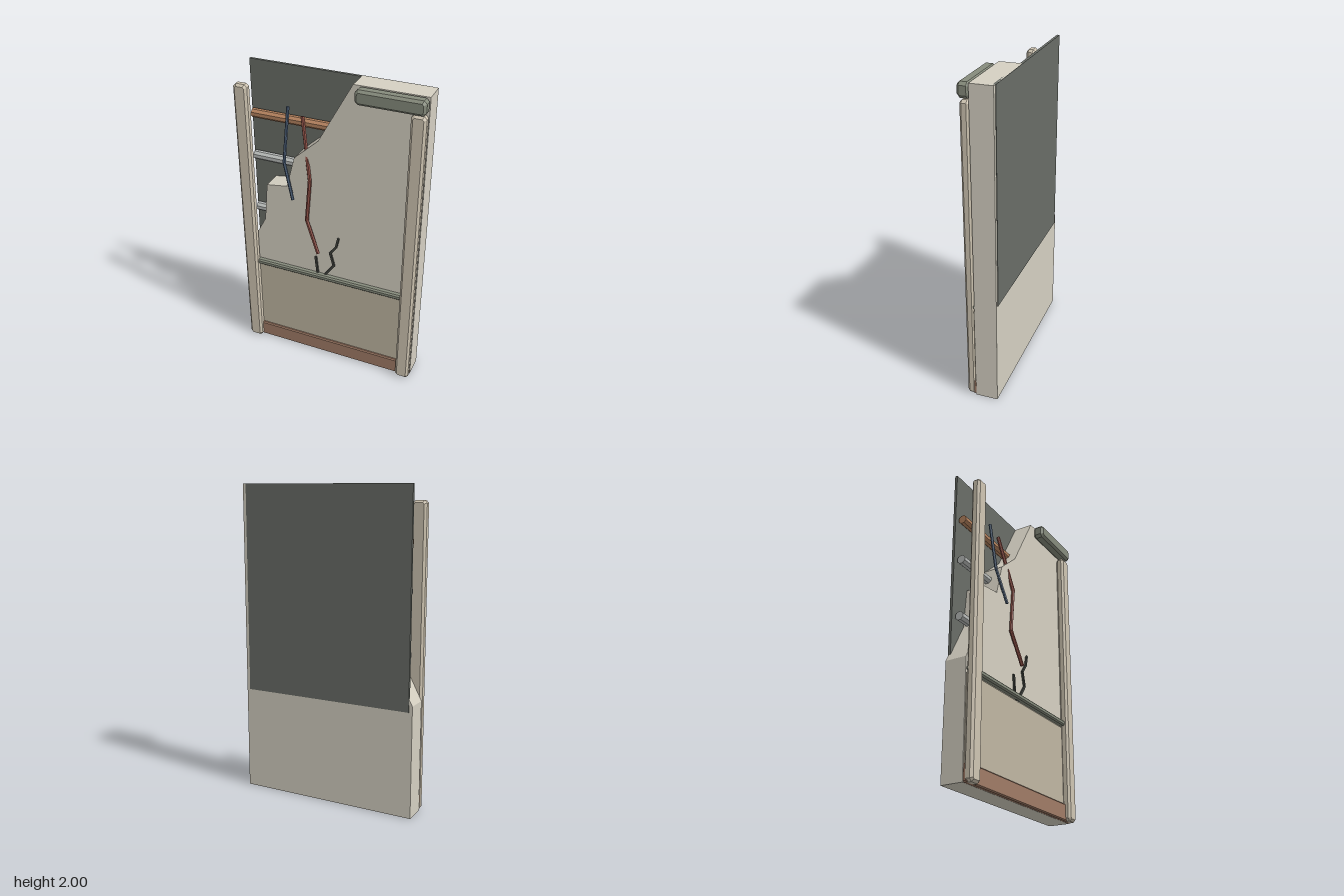
import * as THREE from 'three';

const COLORS = {
  plaster: 0xd5d0c2, backing: 0x696d67, post: 0xcfc5b2, trim: 0x868b7c, panel: 0xbfb6a2,
  base: 0xa07b66, copper: 0xb5835f, steel: 0xb9bcba, blue: 0x4f637c, red: 0x8f5147, crack: 0x41443f,
};
const material = (color) =>
  new THREE.MeshStandardMaterial({ color: COLORS[color], flatShading: true });

function add(group, name, geometry, color) {
  const mesh = new THREE.Mesh(geometry, material(color));
  mesh.name = name;
  group.add(mesh);
  return mesh;
}

// Box with every edge chamfered by c, given by its extents
function chamferBox([x0, x1], [y0, y1], [z0, z1], c) {
  const a = (x1 - x0) / 2 - c, b = (y1 - y0) / 2 - c, k = c * 0.6;
  const shape = new THREE.Shape([
    [a, -b + k], [a, b - k], [a - k, b], [-a + k, b],
    [-a, b - k], [-a, -b + k], [-a + k, -b], [a - k, -b],
  ].map((p) => new THREE.Vector2(...p)));
  return new THREE.ExtrudeGeometry(shape, {
    depth: z1 - z0 - 2 * c, bevelEnabled: true, bevelSize: c, bevelThickness: c, bevelSegments: 1,
  }).translate((x0 + x1) / 2, (y0 + y1) / 2, z0 + c);
}

// Thin wire bent at sharp corners
function wire(points, radius) {
  const path = new THREE.CurvePath();
  const v = points.map((p) => new THREE.Vector3(...p));
  const group = new THREE.Group();
  for (let i = 1; i < v.length; i++) path.add(new THREE.LineCurve3(v[i - 1], v[i]));
  path.curves.forEach((line) => {
    const length = line.getLength();
    const seg = new THREE.CylinderGeometry(radius, radius, length + radius * 0.5, 6);
    seg.applyQuaternion(new THREE.Quaternion().setFromUnitVectors(
      new THREE.Vector3(0, 1, 0), line.getTangent(0)));
    const mid = line.getPoint(0.5);
    group.add(new THREE.Mesh(seg.translate(mid.x, mid.y, mid.z)));
  });
  return group;
}

// Flat crack made of thin bars lying on the wall face
function crack(points) {
  const group = new THREE.Group();
  for (let i = 1; i < points.length; i++) {
    const [ax, ay] = points[i - 1], [bx, by] = points[i];
    const bar = new THREE.BoxGeometry(0.014, Math.hypot(bx - ax, by - ay) + 0.006, 0.012);
    bar.rotateZ(Math.atan2(ax - bx, by - ay)).translate((ax + bx) / 2, (ay + by) / 2, 0.04);
    group.add(new THREE.Mesh(bar));
  }
  return group;
}

function addStrand(group, name, strand, color) {
  strand.name = name;
  strand.children.forEach((m) => { m.material = material(color); m.name = name + 'Segment'; });
  group.add(strand);
}

export function createModel() {
  const model = new THREE.Group();
  model.name = 'brokenWall';

  // Plaster slab with its upper corner broken away
  const outline = [
    [-0.59, 0], [0.59, 0], [0.59, 2], [0.145, 2], [-0.07, 1.61], [-0.23, 1.465],
    [-0.285, 1.255], [-0.425, 1.235], [-0.45, 0.975], [-0.59, 0.71],
  ].map((p) => new THREE.Vector2(...p));
  add(model, 'plasterWall', new THREE.ExtrudeGeometry(new THREE.Shape(outline),
    { depth: 0.139, bevelEnabled: false }).translate(0, 0, -0.104), 'plaster');

  // Dark board behind the hole
  add(model, 'backingBoard',
    new THREE.BoxGeometry(1.135, 1.33, 0.017).translate(0, 1.335, -0.0985), 'backing');

  // Side posts and the surviving piece of the top trim
  add(model, 'rightPost', chamferBox([-0.59, -0.5], [0, 1.905], [0.037, 0.093], 0.014), 'post');
  add(model, 'leftPost', chamferBox([0.5, 0.59], [0, 1.905], [0.037, 0.093], 0.014), 'post');
  add(model, 'topTrim', chamferBox([0.178, 0.588], [1.91, 2], [0.035, 0.107], 0.015), 'trim');

  // Lower panelling, rail and baseboard
  add(model, 'wainscot', chamferBox([-0.585, 0.585], [0.005, 0.62], [0.028, 0.046], 0.007), 'panel');
  add(model, 'chairRail', chamferBox([-0.585, 0.585], [0.622, 0.657], [0.03, 0.072], 0.009), 'trim');
  add(model, 'baseboard', chamferBox([-0.587, 0.587], [0, 0.107], [0.03, 0.062], 0.007), 'base');

  // Pipes running inside the wall
  [[1.67, 'copper'], [1.383, 'steel'], [1.003, 'steel']].forEach(([y, color], i) => {
    const pipe = new THREE.CylinderGeometry(0.029, 0.029, 0.515, 8);
    pipe.rotateY(Math.PI / 8).rotateZ(Math.PI / 2).translate(-0.2875, y, -0.055);
    add(model, 'pipe' + (i + 1), pipe, color);
  });

  // Loose wires
  addStrand(model, 'blueWire', wire(
    [[-0.288, 1.765, -0.02], [-0.298, 1.42, 0.035], [-0.228, 1.195, 0.074]], 0.01), 'blue');
  addStrand(model, 'redWire', wire(
    [[-0.193, 1.72, -0.018], [-0.12, 1.34, 0.052], [-0.145, 1.05, 0.052], [-0.058, 0.84, 0.08]],
    0.012), 'red');

  // Cracks above the rail
  addStrand(model, 'longCrack', crack(
    [[0.065, 0.957], [0.05, 0.89], [0.01, 0.832], [0.035, 0.742], [-0.055, 0.612]]), 'crack');
  addStrand(model, 'shortCrack', crack([[-0.092, 0.775], [-0.08, 0.66], [-0.055, 0.612]]), 'crack');

  return model;
}
